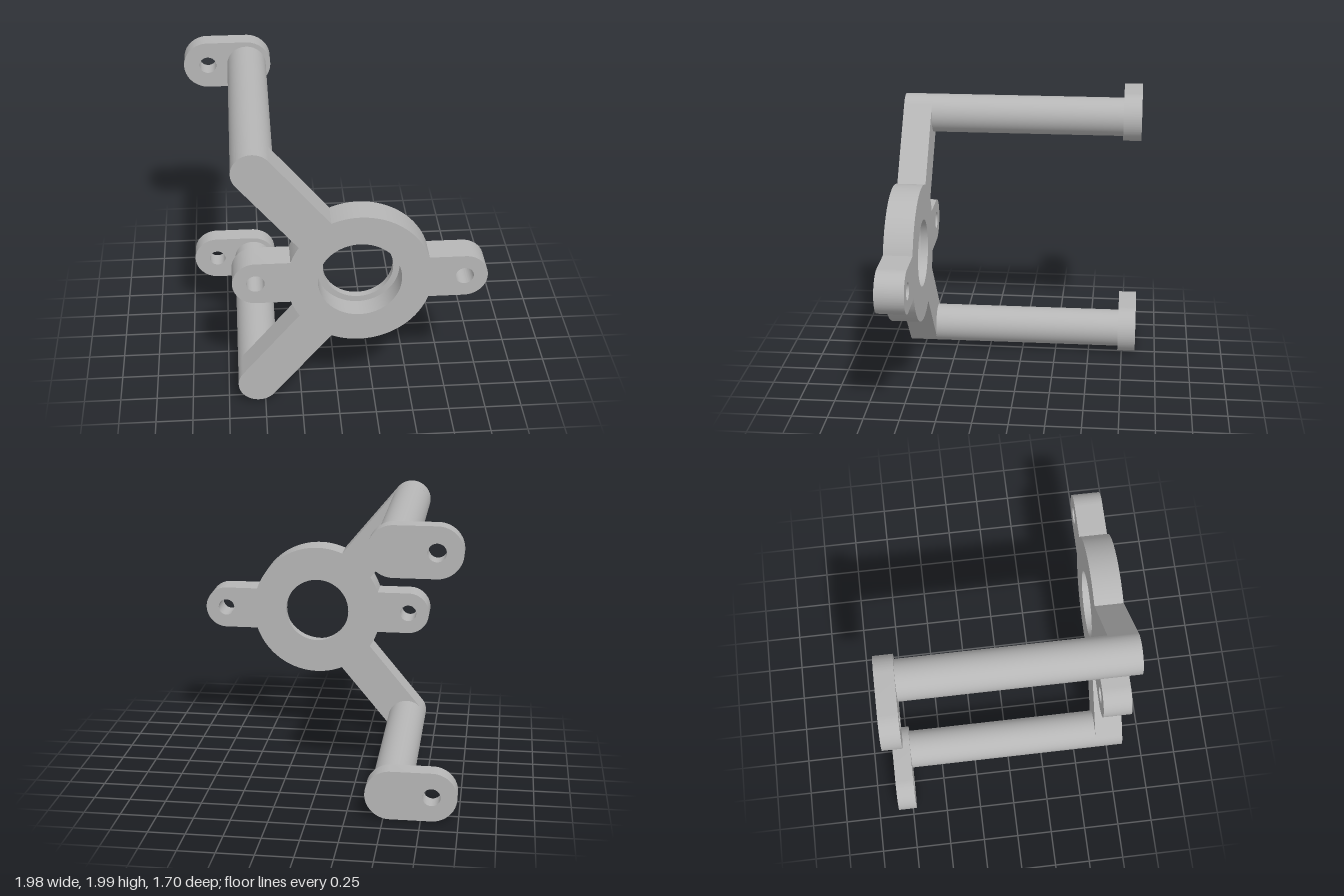
import * as THREE from 'three';
import { toCreasedNormals } from 'three/addons/utils/BufferGeometryUtils.js';

export function createModel() {
  const group = new THREE.Group();
  const metal = new THREE.MeshStandardMaterial({ color: 0xb6b6b6 });
  metal.name = 'plain grey';

  const midY = 1.003, ringX = 0.14, ringR = 0.48;
  const boreR = 0.277, lipR = 0.235, screwR = 0.06;
  const armX = -0.545, armY = 0.827, armR = 0.137, lugR = 0.153;
  const plateBack = 0.65, plateFront = 0.85, footBack = -0.85, footFront = -0.72;

  function add(name, geometry) {
    const mesh = new THREE.Mesh(geometry, metal);
    mesh.name = name;
    group.add(mesh);
    return mesh;
  }

  function slab(name, shape, z0, z1) {
    const geometry = new THREE.ExtrudeGeometry(shape, {
      depth: z1 - z0, bevelEnabled: false, curveSegments: 40,
    });
    geometry.translate(0, 0, z0);
    return add(name, toCreasedNormals(geometry, 0.6));
  }

  function cutHole(shape, x, y, r) {
    shape.holes.push(new THREE.Path().absarc(x, y, r, 0, Math.PI * 2, true));
  }

  // Bracket plate: a ring with two lugs and two arms radiating from its centre
  const armAngle = Math.atan2(armY, armX - ringX);
  const armLength = Math.hypot(armY, armX - ringX);
  const spokes = [
    { angle: 0, length: 0.692, r: lugR, drilled: true },
    { angle: armAngle, length: armLength, r: armR },
    { angle: Math.PI, length: 0.685, r: lugR, drilled: true },
    { angle: Math.PI * 2 - armAngle, length: armLength, r: armR },
  ];
  const plate = new THREE.Shape();
  spokes.forEach((s, i) => {
    const x = ringX + s.length * Math.cos(s.angle);
    const y = midY + s.length * Math.sin(s.angle);
    plate.absarc(x, y, s.r, s.angle - Math.PI / 2, s.angle + Math.PI / 2, false);
    const next = spokes[(i + 1) % spokes.length];
    const nextAngle = next.angle + (i === spokes.length - 1 ? Math.PI * 2 : 0);
    plate.absarc(ringX, midY, ringR,
      s.angle + Math.asin(s.r / ringR), nextAngle - Math.asin(next.r / ringR), false);
    if (s.drilled) cutHole(plate, x, y, screwR);
  });
  plate.closePath();
  cutHole(plate, ringX, midY, boreR);
  slab('bracketPlate', plate, plateBack, plateFront);

  // Narrow lip at the back of the bore
  const lip = new THREE.Shape().absarc(ringX, midY, boreR, 0, Math.PI * 2, false);
  cutHole(lip, ringX, midY, lipR);
  slab('boreLip', lip, plateBack, plateBack + 0.05);

  // Upper and lower posts, each ending in a drilled foot
  for (const side of [1, -1]) {
    const label = side > 0 ? 'upper' : 'lower';
    const y = midY + side * armY;

    const length = plateBack - footFront + 0.04;
    const post = new THREE.CylinderGeometry(armR, armR, length, 48, 1, true);
    post.rotateX(Math.PI / 2);
    post.translate(armX, y, footFront - 0.02 + length / 2);
    add(label + 'Post', post);

    const footX = -0.82, footR = 0.17;
    const foot = new THREE.Shape();
    foot.absarc(armX, y, footR, -Math.PI / 2, Math.PI / 2, false);
    foot.absarc(footX, y, footR, Math.PI / 2, Math.PI * 1.5, false);
    foot.closePath();
    cutHole(foot, footX, y, screwR);
    slab(label + 'Foot', foot, footBack, footFront);
  }

  return group;
}
